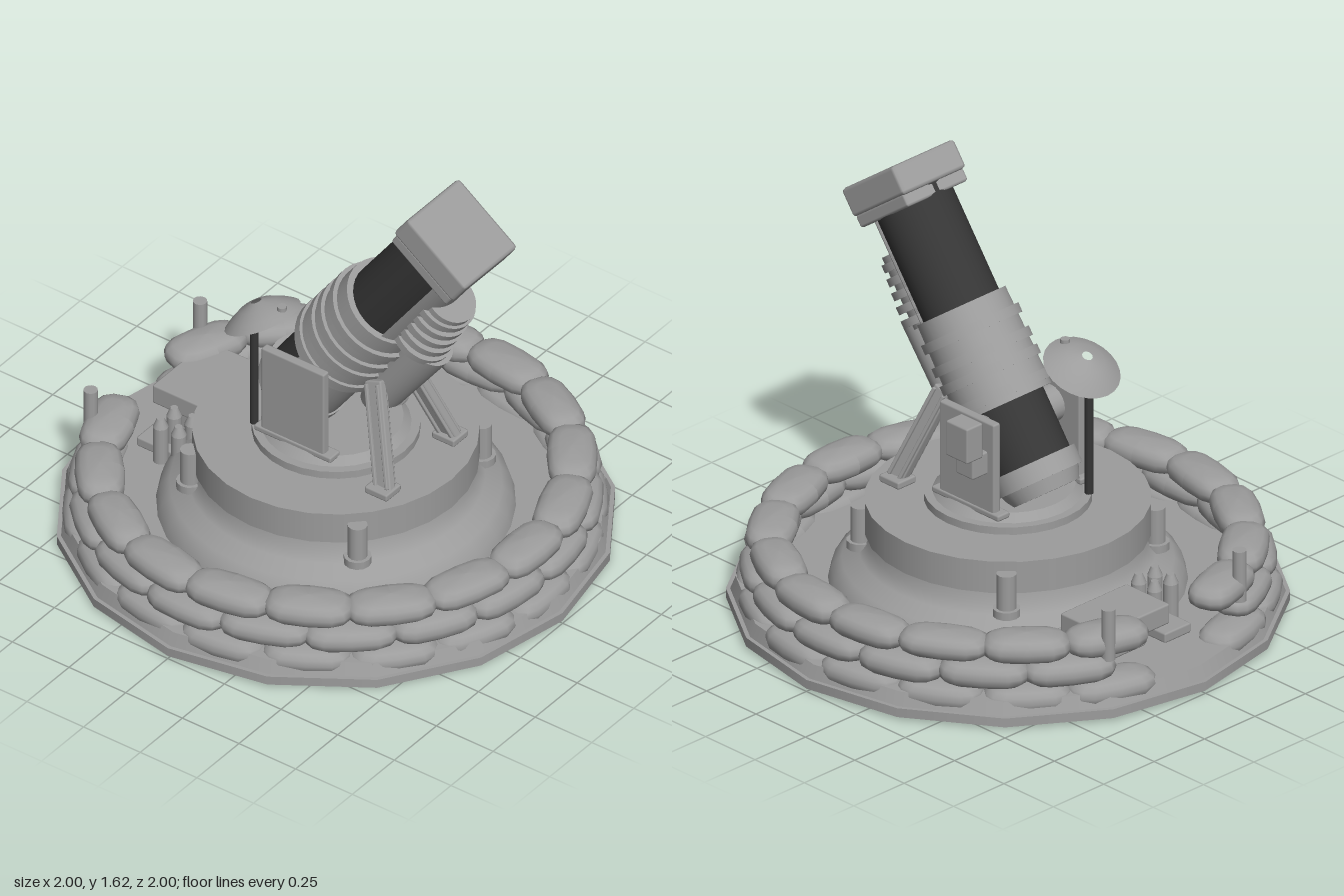
import * as THREE from 'three';
import { RoundedBoxGeometry } from 'three/addons/geometries/RoundedBoxGeometry.js';

export function createModel() {
  const grey = new THREE.MeshStandardMaterial({ color: 0x9c9c9c, side: THREE.DoubleSide });
  grey.name = 'grey';
  const dark = new THREE.MeshStandardMaterial({ color: 0x363636, side: THREE.DoubleSide });
  dark.name = 'darkSteel';
  const model = new THREE.Group();
  model.name = 'mortarEmplacement';

  const add = (parent, name, geometry, x, y, z, material = grey) => {
    const mesh = new THREE.Mesh(geometry, material);
    mesh.name = name;
    mesh.position.set(x, y, z);
    parent.add(mesh);
    return mesh;
  };
  const box = (w, h, d, r = 0.008) => new RoundedBoxGeometry(w, h, d, 1, r);
  const cyl = (rt, rb, h, n = 24) => new THREE.CylinderGeometry(rt, rb, h, n);
  const group = (name) => {
    const g = new THREE.Group();
    g.name = name;
    model.add(g);
    return g;
  };
  let seed = 11;
  const rand = () => (seed = (seed * 16807) % 2147483647) / 2147483647;

  // Base slab with a dark underside and two runners
  add(model, 'baseSlab', cyl(1, 1, 0.035, 16), 0, 0.0285, 0, [grey, grey, dark]);
  add(model, 'floor', cyl(0.965, 0.985, 0.05, 16), 0, 0.07, 0);
  for (const s of [-1, 1]) add(model, 'runner', new THREE.BoxGeometry(0.76, 0.012, 0.02), 0, 0.006, s * 0.22, dark);

  // Sandbag: a sphere pushed towards a pillow shape with pinched ends
  const bag = new THREE.SphereGeometry(1, 14, 8);
  const p = bag.attributes.position;
  const swell = (v, e) => Math.sign(v) * Math.abs(v) ** e;
  for (let i = 0; i < p.count; i++) {
    p.setXYZ(i, swell(p.getX(i), 0.75), swell(p.getY(i), 0.85), swell(p.getZ(i), 0.6));
  }
  bag.computeVertexNormals();

  // Three sandbag rows, open at the entrance on -x
  const rows = [
    { r: 0.88, y: 0.078, shift: 0 },
    { r: 0.865, y: 0.165, shift: 0.5 },
    { r: 0.838, y: 0.252, shift: 0 },
  ];
  const wall = group('sandbagWall');
  for (const { r, y, shift } of rows) {
    for (let k = 0; k < 18; k++) {
      const a = ((k + shift) * Math.PI) / 9;
      if (Math.abs(a - Math.PI) < 0.25) continue;
      const m = add(wall, 'sandbag', bag, r * Math.cos(a), y + (rand() - 0.5) * 0.008, r * Math.sin(a));
      m.scale.set(0.084 + rand() * 0.008, 0.05 + rand() * 0.004, 0.158 + rand() * 0.012);
      m.rotation.y = -a + (rand() - 0.5) * 0.1;
    }
  }
  // Entrance posts
  for (const z of [-0.33, 0.32]) add(wall, 'entrancePost', cyl(0.026, 0.026, 0.2, 12), -0.845, 0.3, z);

  // Mound beneath the turntable
  const profile = [[0.64, 0.09], [0.625, 0.14], [0.59, 0.18], [0.53, 0.215], [0.5, 0.25], [0.49, 0.31]];
  add(model, 'mound', new THREE.LatheGeometry(profile.map(([x, y]) => new THREE.Vector2(x, y)), 32), 0, 0, 0);

  // Turntable and its bearing rings
  const table = group('turntable');
  add(table, 'turntableDrum', cyl(0.51, 0.51, 0.125, 28), 0, 0.355, 0);
  add(table, 'turntableSkirt', cyl(0.49, 0.47, 0.03, 28), 0, 0.28, 0);
  add(table, 'bearingRing', cyl(0.3, 0.3, 0.03, 28), 0, 0.432, 0);
  add(table, 'bearingCap', cyl(0.24, 0.27, 0.03, 28), 0, 0.46, 0);
  for (const x of [-0.37, 0.37]) {
    for (const z of [-0.37, 0.37]) {
      add(table, 'anchorPost', cyl(0.036, 0.036, 0.17, 12), x, 0.295, z);
      add(table, 'anchorFoot', cyl(0.05, 0.05, 0.03, 12), x, 0.23, z);
    }
  }

  // Side plates, trunnion and control box
  const mount = group('mount');
  for (const s of [-1, 1]) {
    add(mount, 'sidePlate', box(0.278, 0.37, 0.035), -0.023, 0.655, s * 0.212);
    add(mount, 'plateFoot', box(0.34, 0.025, 0.06), -0.02, 0.478, s * 0.205);
  }
  add(mount, 'trunnion', cyl(0.07, 0.07, 0.4, 20), -0.02, 0.73, 0).rotation.x = Math.PI / 2;
  add(mount, 'controlBox', box(0.11, 0.14, 0.08), -0.085, 0.785, -0.3);
  add(mount, 'controlBracket', box(0.09, 0.09, 0.08), -0.085, 0.68, -0.262);

  // Splayed front struts, each a plank with raised ribs
  const up = new THREE.Vector3(0, 1, 0);
  for (const s of [-1, 1]) {
    const foot = new THREE.Vector3(0.365, 0.42, s * 0.2);
    const head = new THREE.Vector3(0.235, 0.79, s * 0.085);
    const strut = new THREE.Group();
    strut.name = 'strut';
    strut.position.copy(foot).add(head).multiplyScalar(0.5);
    const dir = head.clone().sub(foot);
    const len = dir.length();
    strut.quaternion.setFromUnitVectors(up, dir.normalize());
    add(strut, 'strutPlank', box(0.075, len, 0.035), 0, 0, 0);
    for (const x of [-0.025, 0.025]) add(strut, 'strutRib', box(0.014, len * 0.94, 0.055, 0.004), x, 0, 0);
    mount.add(strut);
    add(mount, 'strutFoot', box(0.1, 0.03, 0.09), 0.355, 0.43, s * 0.2);
  }

  // Barrel: local y runs to the muzzle, local +x is the underside
  const barrel = group('barrel');
  barrel.position.set(0.56, 1.535, 0);
  barrel.rotation.z = -Math.PI / 5;
  const along = (name, rt, rb, y0, y1, x = 0, material = grey) =>
    add(barrel, name, cyl(rt, rb, y1 - y0, 32), x, (y0 + y1) / 2, 0, material);
  along('barrelTube', 0.147, 0.147, -1.2, -0.1, 0, dark);
  const shell = new THREE.CylinderGeometry(0.158, 0.158, 1.08, 20, 1, true, Math.PI / 6, Math.PI * 2 / 3);
  add(barrel, 'barrelShell', shell, 0, -0.66, 0);
  along('sleeve', 0.172, 0.18, -0.93, -0.55);
  for (const y of [-0.64, -0.73, -0.8, -0.89]) along('sleeveRing', 0.19, 0.19, y - 0.018, y + 0.018);
  along('breech', 0.165, 0.165, -1.23, -1.16);
  along('breechEnd', 0.15, 0.13, -1.28, -1.23);

  // Muzzle block
  add(barrel, 'muzzleBlock', box(0.322, 0.11, 0.312, 0.014), 0, -0.055, 0);
  add(barrel, 'muzzleCollar', box(0.3, 0.05, 0.3, 0.01), 0.004, -0.13, 0);

  // Recoil cylinder below the barrel with stacked ribs
  along('recoilHousing', 0.1, 0.1, -0.56, -0.28, 0.14);
  for (let i = 0; i < 5; i++) {
    along('recoilRib', 0.116, 0.116, -0.335 - i * 0.052, -0.305 - i * 0.052, 0.135 + i * 0.008);
  }
  along('recoilCylinder', 0.086, 0.08, -0.88, -0.53, 0.215);
  along('recoilTip', 0.08, 0.045, -0.98, -0.88, 0.215);

  // Dish on a dark mast
  const antenna = group('antenna');
  add(antenna, 'mast', cyl(0.016, 0.016, 0.5, 10), -0.227, 0.7, 0.18, dark);
  const dish = new THREE.Group();
  dish.name = 'dish';
  dish.position.set(-0.19, 0.935, 0.18);
  dish.rotation.z = 0.46;
  antenna.add(dish);
  const dome = [[0.145, 0], [0.115, 0.022], [0.07, 0.048], [0.02, 0.064]];
  add(dish, 'dishBowl', new THREE.LatheGeometry(dome.map(([x, y]) => new THREE.Vector2(x, y)), 24), 0, 0, 0);
  add(antenna, 'dishStud', cyl(0.018, 0.018, 0.05, 10), -0.105, 0.995, 0.18);

  // Ammunition crates and standing shells
  const store = group('ammunitionStore');
  add(store, 'lowerCrate', box(0.18, 0.1, 0.35), -0.63, 0.145, -0.195);
  add(store, 'upperCrate', box(0.22, 0.08, 0.33), -0.68, 0.23, -0.135);
  add(store, 'shellTray', box(0.2, 0.04, 0.13), -0.66, 0.115, 0.1);
  for (const x of [-0.64, -0.56]) {
    for (const z of [0.1, 0.18]) {
      add(store, 'shell', cyl(0.028, 0.028, 0.15, 12), x, 0.17, z);
      add(store, 'shellNose', cyl(0.014, 0.028, 0.035, 12), x, 0.2625, z);
    }
  }
  return model;
}
